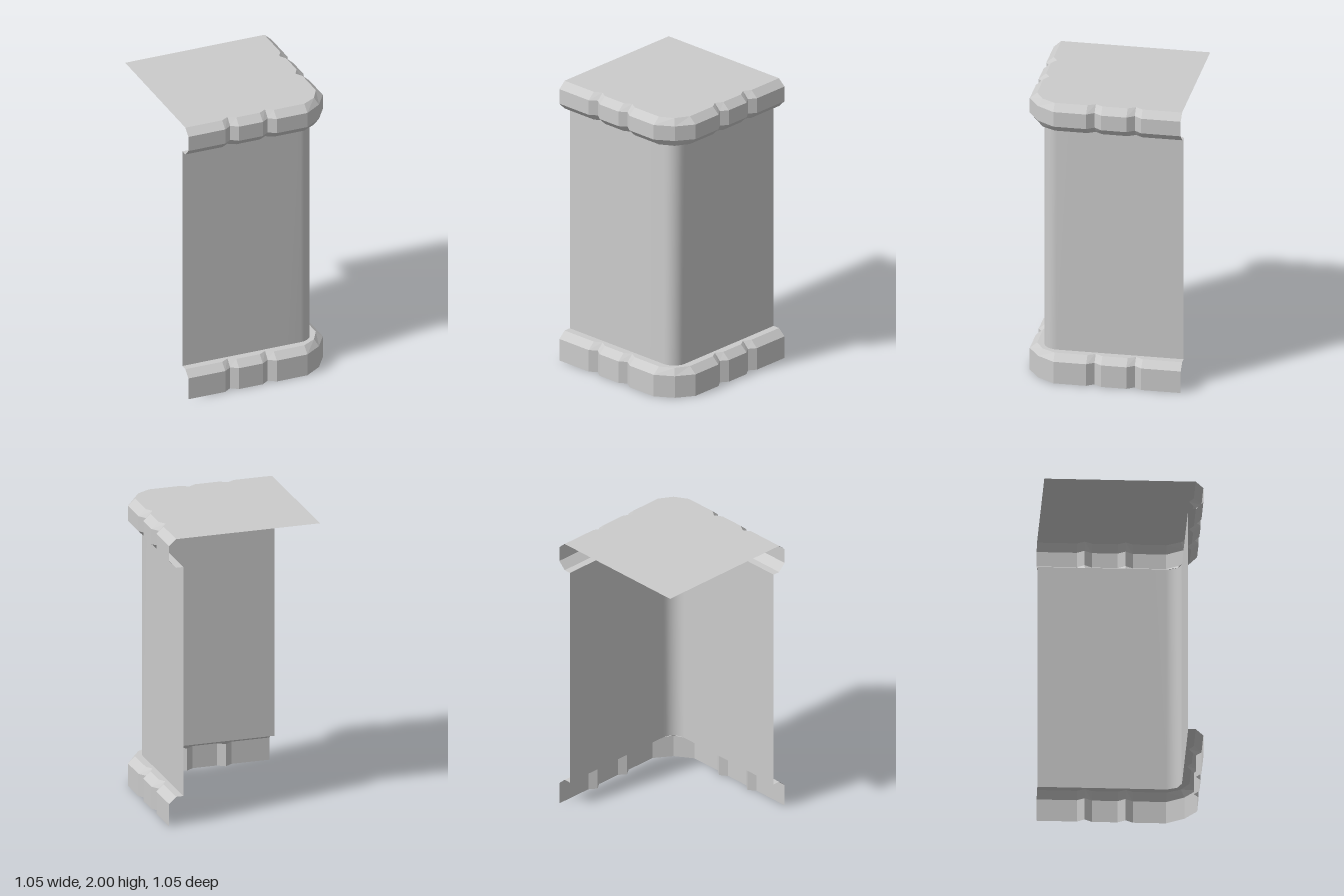
import * as THREE from 'three';

const END = 0.525;

// Half of the plan outline, from the left end to the corner, mirrored across x = z.
// face: distance of the flat faces, notch: depth of the grooves, corner: diagonal points
function outline(face, notch, corner) {
  const half = [[-END, face]];
  for (const x of [-0.21, 0.06]) {
    half.push([x - 0.05, face], [x, face - notch], [x + 0.05, face]);
  }
  half.push([0.33, face]);
  const mirrored = half.map(([x, z]) => [z, x]).reverse();
  return [...half, ...corner, ...mirrored];
}

// Open wall through rows of { y, points }, listed from bottom to top
function loft(rows) {
  const n = rows[0].points.length;
  const positions = [];
  const index = [];
  for (const { y, points } of rows) {
    for (const [x, z] of points) positions.push(x, y, z);
  }
  for (let r = 0; r < rows.length - 1; r++) {
    for (let i = 0; i < n - 1; i++) {
      const a = r * n + i;
      index.push(a, a + 1, a + n + 1, a, a + n + 1, a + n);
    }
  }
  const geometry = new THREE.BufferGeometry();
  geometry.setAttribute('position', new THREE.Float32BufferAttribute(positions, 3));
  geometry.setIndex(index);
  geometry.computeVertexNormals();
  return geometry;
}

export function createModel() {
  const group = new THREE.Group();
  const flat = new THREE.MeshStandardMaterial({
    color: 0xcccccc, side: THREE.DoubleSide, flatShading: true,
  });
  const smooth = new THREE.MeshStandardMaterial({ color: 0xcccccc, side: THREE.DoubleSide });
  const add = (name, geometry, material) => {
    const mesh = new THREE.Mesh(geometry, material);
    mesh.name = name;
    group.add(mesh);
  };

  const outer = outline(END, 0.035, [[0.447, 0.447]]);
  const inner = outline(0.475, 0.03, [[0.422, 0.422]]);
  const wall = outline(0.425, 0, [[0.396, 0.396]]);

  // Shaft: two walls joined by a rounded corner
  const shaftPath = [[-END, 0.425], [0.2, 0.425]];
  const segments = 6;
  for (let i = 0; i <= segments; i++) {
    const t = (i / segments) * Math.PI / 2;
    shaftPath.push([0.325 + 0.1 * Math.sin(t), 0.325 + 0.1 * Math.cos(t)]);
  }
  shaftPath.push([0.425, 0.2], [0.425, -END]);
  add('shaft', loft([{ y: 0.2, points: shaftPath }, { y: 1.8, points: shaftPath }]), smooth);

  // Base rim: upright band, chamfer and ledge to the shaft
  add('baseRim', loft([
    { y: 0, points: outer },
    { y: 0.155, points: outer },
    { y: 0.2, points: inner },
    { y: 0.2, points: wall },
  ]), flat);

  // Top rim: ledge, lower chamfer, band and upper chamfer
  add('topRim', loft([
    { y: 1.8, points: wall },
    { y: 1.8, points: inner },
    { y: 1.85, points: outer },
    { y: 1.955, points: outer },
    { y: 2, points: inner },
  ]), flat);

  // Flat lid closing the top, reaching the open back corner
  const lidPoints = [...inner, [-END, -END]].map(([x, z]) => new THREE.Vector2(x, -z));
  const lid = new THREE.ShapeGeometry(new THREE.Shape(lidPoints));
  lid.rotateX(-Math.PI / 2);
  lid.translate(0, 2, 0);
  add('lid', lid, flat);

  return group;
}
